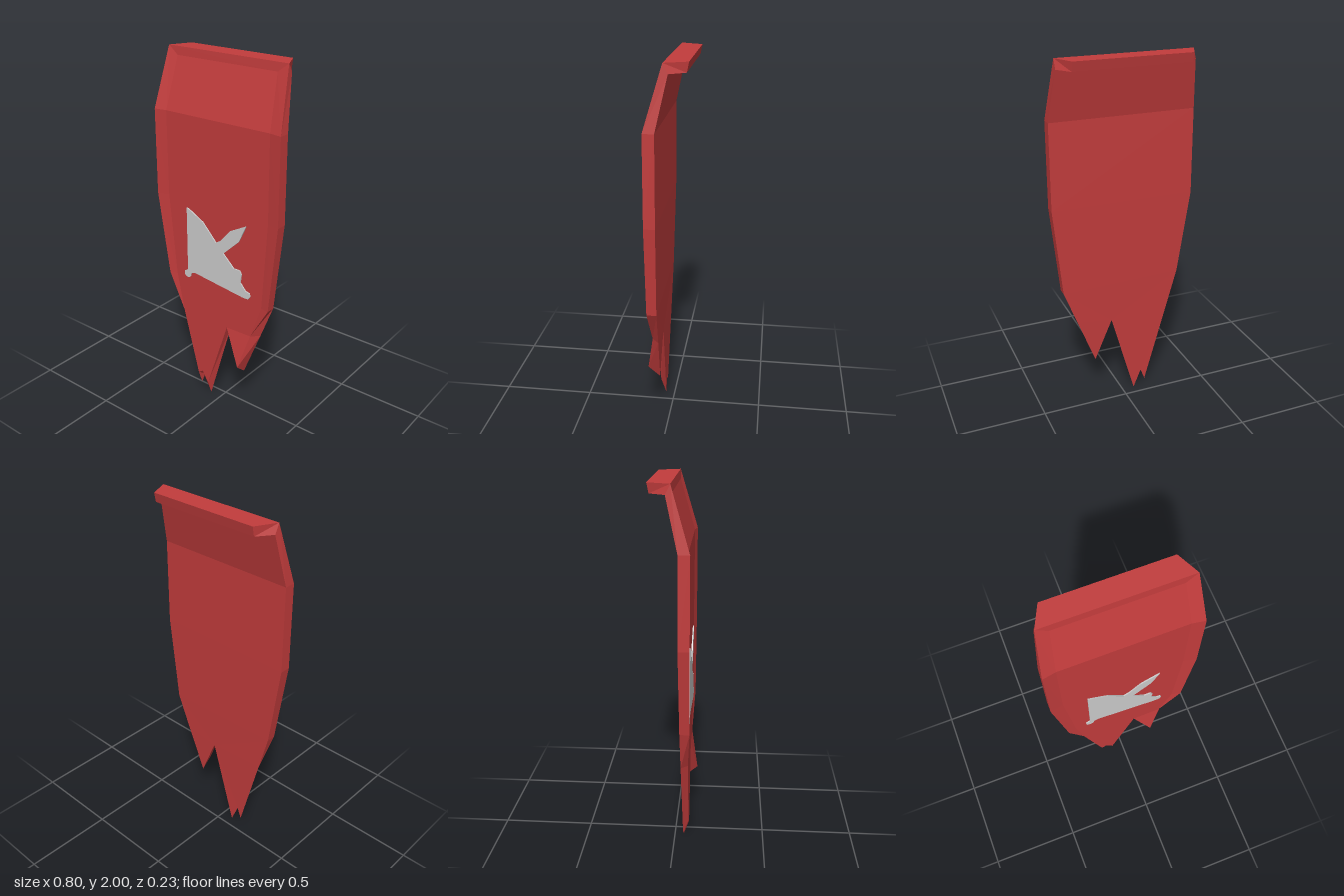
import * as THREE from 'three';

const red = new THREE.MeshStandardMaterial({ color: 0xc23c3c, flatShading: true });
red.name = 'red cloth';
const silver = new THREE.MeshStandardMaterial({ color: 0xcccccc });
silver.name = 'silver';

// Flat-faced mesh from convex polygons, each a list of corner points
function facesMesh(name, faces, material) {
  const pos = [];
  for (const f of faces)
    for (let i = 1; i < f.length - 1; i++) pos.push(...f[0], ...f[i], ...f[i + 1]);
  const geo = new THREE.BufferGeometry();
  geo.setAttribute('position', new THREE.Float32BufferAttribute(pos, 3));
  geo.computeVertexNormals();
  const mesh = new THREE.Mesh(geo, material);
  mesh.name = name;
  return mesh;
}

function createCloth() {
  // Front and back edges, running down the left side, round the torn tips and up the right
  const front = [
    [-0.37, 2, 0], [-0.4, 1.68, 0.094], [-0.4, 1.21, 0.094], [-0.33, 0.74, 0.092],
    [-0.24, 0.52, 0.08], [-0.14, 0.13, 0.08], [-0.11, 0.15, 0.08], [-0.07, 0.085, 0.08],
    [0.07, 0.515, 0.08], [0.17, 0.31, 0.115], [0.23, 0.52, 0.08],
    [0.35, 0.72, 0.092], [0.4, 1.21, 0.094], [0.4, 1.68, 0.094], [0.37, 2, 0],
  ];
  const back = [
    [-0.37, 1.95, -0.025], [-0.4, 1.68, 0.035], [-0.4, 1.21, 0.035], [-0.33, 0.74, 0.04],
    [-0.27, 0.52, 0.043], [-0.14, 0.045, 0.05], [-0.115, 0.11, 0.05], [-0.07, 0, 0.05],
    [0.07, 0.495, 0.045], [0.17, 0.255, 0.05], [0.273, 0.52, 0.043],
    [0.35, 0.72, 0.04], [0.4, 1.21, 0.035], [0.4, 1.68, 0.035], [0.37, 1.95, -0.025],
  ];
  // Slightly sunken centre panel
  const inL = [[-0.31, 1.955, 0.004], [-0.33, 1.68, 0.082], [-0.33, 1.21, 0.08], [-0.285, 0.74, 0.08]];
  const inR = [[0.31, 1.955, 0.004], [0.33, 1.68, 0.082], [0.33, 1.21, 0.08], [0.3, 0.72, 0.08]];
  const faces = [];

  // Edge walls
  for (let i = 0; i < front.length - 1; i++)
    faces.push([front[i], back[i], back[i + 1], front[i + 1]]);

  // Body rows: left rim, centre, right rim, and back
  for (let i = 0; i < 3; i++) {
    const r = 14 - i;
    faces.push([front[i], front[i + 1], inL[i + 1], inL[i]]);
    faces.push([inL[i], inL[i + 1], inR[i + 1], inR[i]]);
    faces.push([inR[i], inR[i + 1], front[r - 1], front[r]]);
    faces.push([back[i], back[r], back[r - 1], back[i + 1]]);
  }
  faces.push([front[0], inL[0], inR[0], front[14]]);

  // Taper towards the tips
  faces.push(
    [front[3], front[4], inL[3]], [inL[3], front[4], front[8]], [inL[3], front[8], inR[3]],
    [inR[3], front[8], front[10]], [inR[3], front[10], front[11]],
    [back[8], back[4], back[3]], [back[8], back[3], back[11]], [back[8], back[11], back[10]],
  );

  // Torn tips
  for (const [a, b, c] of [[4, 5, 6], [4, 6, 8], [6, 7, 8], [8, 9, 10]])
    faces.push([front[a], front[b], front[c]], [back[a], back[c], back[b]]);

  // Top flap folded backwards
  const [fl, fr, bl, br] = [front[0], front[14], back[0], back[14]];
  const tl = [-0.315, 2, -0.115], tr = [0.315, 2, -0.115];
  const ul = [-0.315, 1.95, -0.105], ur = [0.315, 1.95, -0.105];
  faces.push([fl, fr, tr, tl], [tl, tr, ur, ul], [bl, ul, ur, br], [fl, tl, ul, bl], [fr, br, ur, tr]);

  return facesMesh('cloth', faces, red);
}

// Thin painted emblem on the centre panel
function createEmblem() {
  const outline = [
    [-0.2, 1.168], [-0.17, 1.155], [-0.09, 1.112], [-0.05, 1.07], [0, 1.016], [0.035, 1.04],
    [0.095, 1.11], [0.2, 1.166], [0.153, 1.065], [0.05, 0.967], [0.12, 0.9], [0.16, 0.9],
    [0.172, 0.88], [0.165, 0.83], [0.2, 0.79], [0.225, 0.785], [0.23, 0.765], [0.217, 0.747],
    [0.18, 0.747], [-0.15, 0.788], [-0.178, 0.778], [-0.182, 0.755], [-0.2, 0.745],
    [-0.222, 0.755], [-0.224, 0.78], [-0.2, 0.795],
  ];
  const shape = new THREE.Shape(outline.map(([x, y]) => new THREE.Vector2(x, y)));
  const mesh = new THREE.Mesh(
    new THREE.ExtrudeGeometry(shape, { depth: 0.007, bevelEnabled: false }), silver);
  mesh.position.z = 0.08;
  mesh.name = 'emblem';
  return mesh;
}

export function createModel() {
  const group = new THREE.Group();
  group.name = 'banner';
  group.add(createCloth(), createEmblem());
  return group;
}
